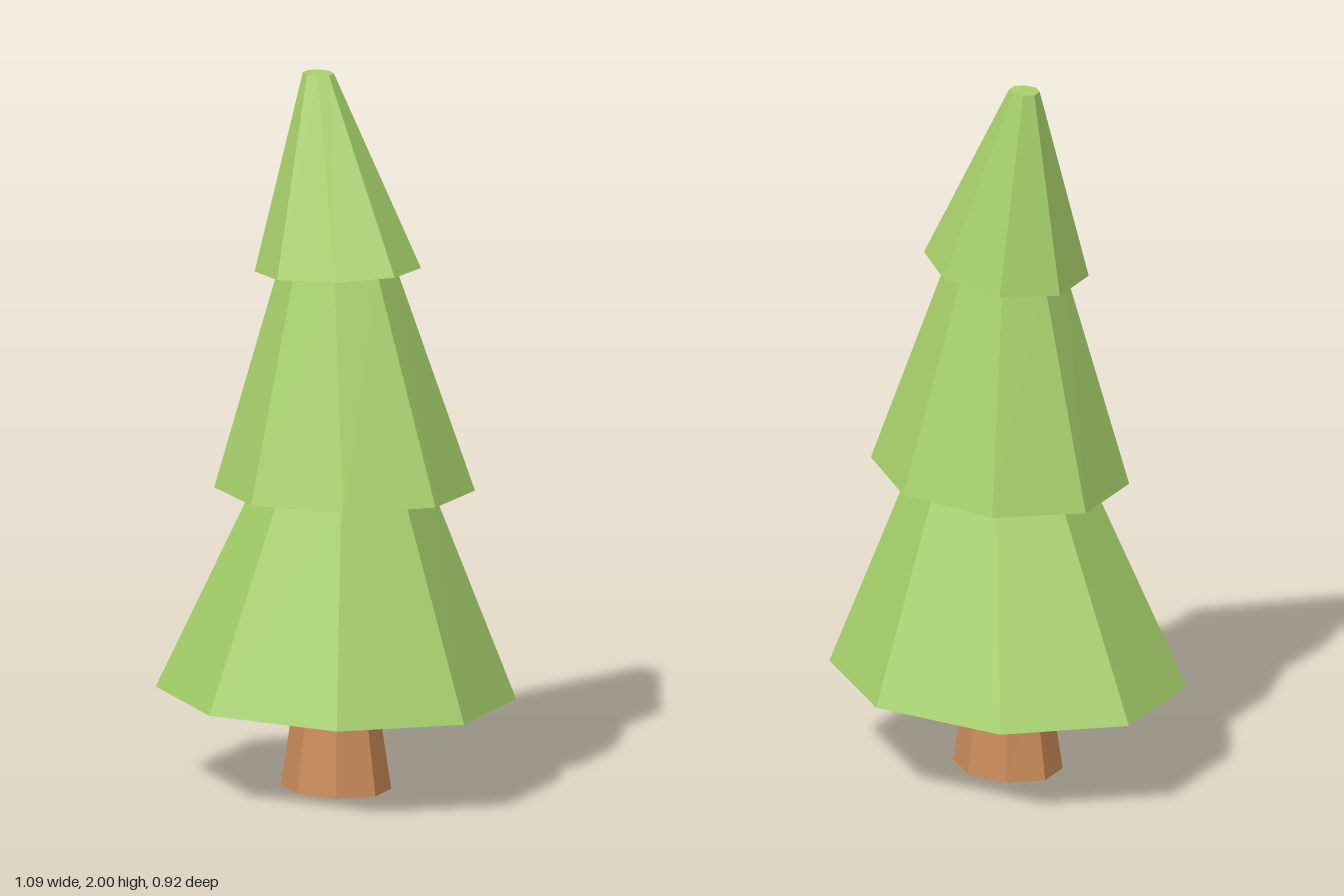
import * as THREE from 'three';

const SIDES = 8;

// Leaning frustum between two elliptical rings.
// ring: centre x, y, z; radii rx, rz; slope = rise of y along x; yaw = small twist about y
function frustum(name, color, bottom, top) {
  const geo = new THREE.CylinderGeometry(1, 1, 1, SIDES, 1).toNonIndexed();
  const pos = geo.attributes.position;
  for (let i = 0; i < pos.count; i++) {
    const { x, y, z, rx, rz, slope = 0, yaw = 0 } = pos.getY(i) > 0 ? top : bottom;
    const px = pos.getX(i) * rx, pz = pos.getZ(i) * rz;
    const c = Math.cos(yaw), s = Math.sin(yaw);
    const dx = px * c - pz * s;
    pos.setXYZ(i, x + dx, y + dx * slope, z + px * s + pz * c);
  }
  geo.computeVertexNormals();
  const mesh = new THREE.Mesh(geo, new THREE.MeshStandardMaterial({ color, flatShading: true }));
  mesh.name = name;
  return mesh;
}

export function createModel() {
  const tree = new THREE.Group();
  tree.name = 'pineTree';
  const green = 0xa6d06a, brown = 0xc98a58;

  // Tapered trunk
  tree.add(frustum('trunk', brown,
    { x: 0, y: 0, z: 0, rx: 0.168, rz: 0.14 },
    { x: 0, y: 0.27, z: 0, rx: 0.123, rz: 0.104 }));

  // Three foliage tiers, each tucked slightly into the one above
  const tiers = [
    ['lowerFoliage',
      { x: 0, y: 0.265, z: 0, rx: 0.545, rz: 0.46 },
      { x: 0.032, y: 0.853, z: 0.003, rx: 0.27, rz: 0.23, slope: 0.034, yaw: 0.016 }],
    ['middleFoliage',
      { x: 0.04, y: 0.848, z: 0.003, rx: 0.395, rz: 0.334, slope: 0.034, yaw: 0.016 },
      { x: 0.006, y: 1.467, z: 0.002, rx: 0.178, rz: 0.152, slope: 0.08, yaw: 0.035 }],
    ['upperFoliage',
      { x: 0.01, y: 1.462, z: 0.002, rx: 0.253, rz: 0.214, slope: 0.08, yaw: 0.035 },
      { x: -0.088, y: 2, z: -0.011, rx: 0.047, rz: 0.04, yaw: 0.035 }],
  ];
  for (const [name, bottom, top] of tiers) tree.add(frustum(name, green, bottom, top));

  return tree;
}
